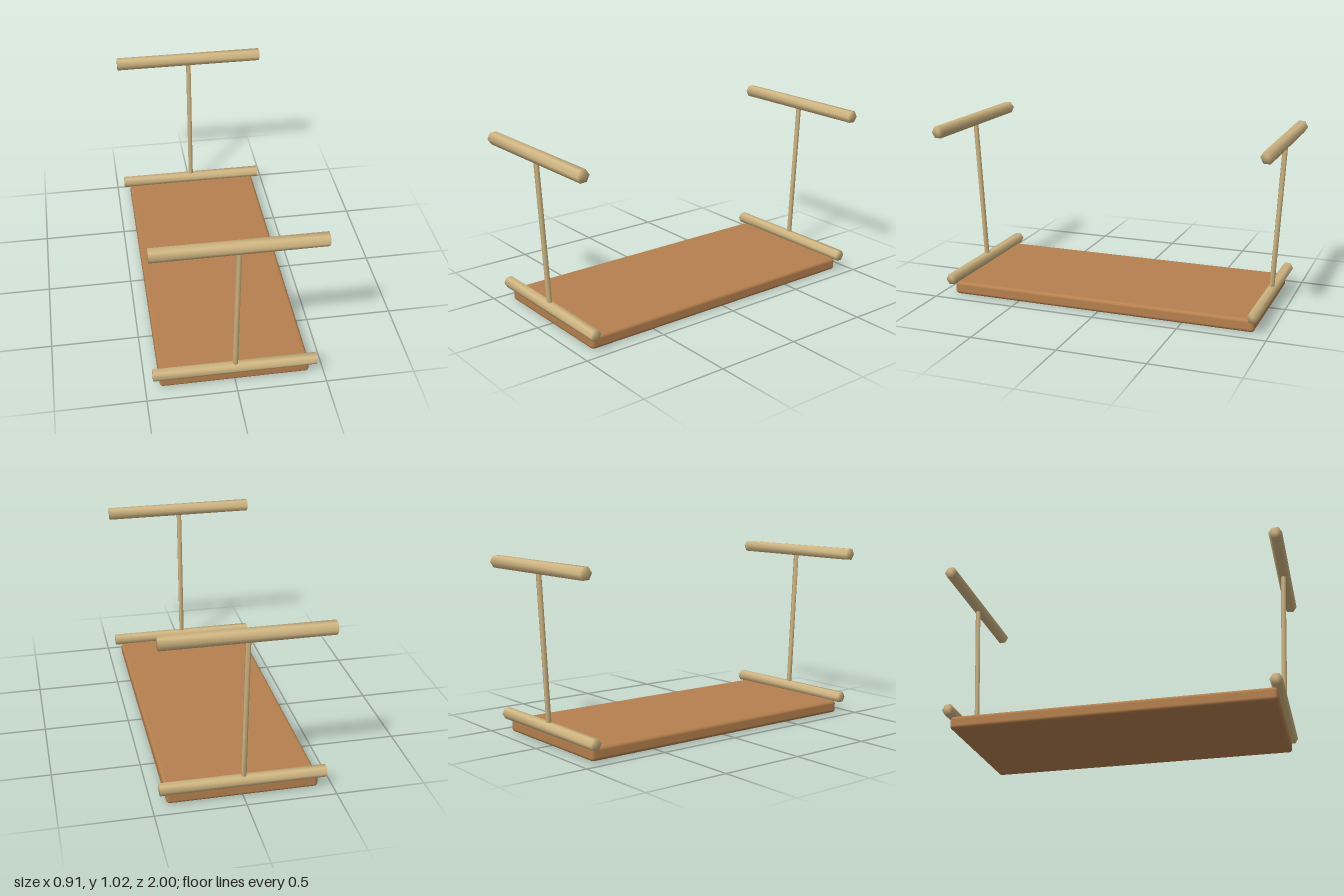
import * as THREE from 'three';
import { mergeVertices } from 'three/addons/utils/BufferGeometryUtils.js';
import { RoundedBoxGeometry } from 'three/addons/geometries/RoundedBoxGeometry.js';

// Low-sided rod whose caps and sides share smooth normals
function softRod(radius, length, sides) {
  const rod = new THREE.CylinderGeometry(radius, radius, length, sides);
  rod.deleteAttribute('normal');
  rod.deleteAttribute('uv');
  const merged = mergeVertices(rod, 1e-4);
  merged.computeVertexNormals();
  return merged;
}

export function createModel() {
  const model = new THREE.Group();
  model.name = 'trayWithHandles';

  const boardWood = new THREE.MeshStandardMaterial({ color: 0xb5804e });
  boardWood.name = 'brown board wood';
  const barWood = new THREE.MeshStandardMaterial({ color: 0xd0b682 });
  barWood.name = 'pale bar wood';

  const add = (parent, name, geometry, material) => {
    const mesh = new THREE.Mesh(geometry, material);
    mesh.name = name;
    parent.add(mesh);
    return mesh;
  };

  // Flat board with softened edges
  const height = 0.076;
  add(model, 'board', new RoundedBoxGeometry(0.84, height, 1.828, 3, 0.02), boardWood)
    .position.y = height / 2;

  // One T-shaped handle at each end, leaning outwards
  const postLength = 0.886;
  const lean = Math.atan2(0.048, 0.885);
  for (const side of [1, -1]) {
    const handle = new THREE.Group();
    handle.name = side > 0 ? 'frontHandle' : 'backHandle';
    handle.position.set(0, 0.102, side * 0.914);
    handle.rotation.x = side * lean;
    model.add(handle);

    // Crossbars lie along x, with a corner of the hexagon facing outwards
    const lower = add(handle, 'lowerBar', softRod(0.035, 0.914, 6), barWood);
    lower.rotation.z = Math.PI / 2;
    const upper = add(handle, 'upperBar', softRod(0.0385, 0.914, 6), barWood);
    upper.rotation.z = Math.PI / 2;
    upper.position.y = postLength;

    // Five-sided post between the bars
    const post = add(handle, 'post', softRod(0.0155, postLength, 5), barWood);
    post.position.y = postLength / 2;
    post.rotation.y = -Math.PI / 2;
  }

  return model;
}
